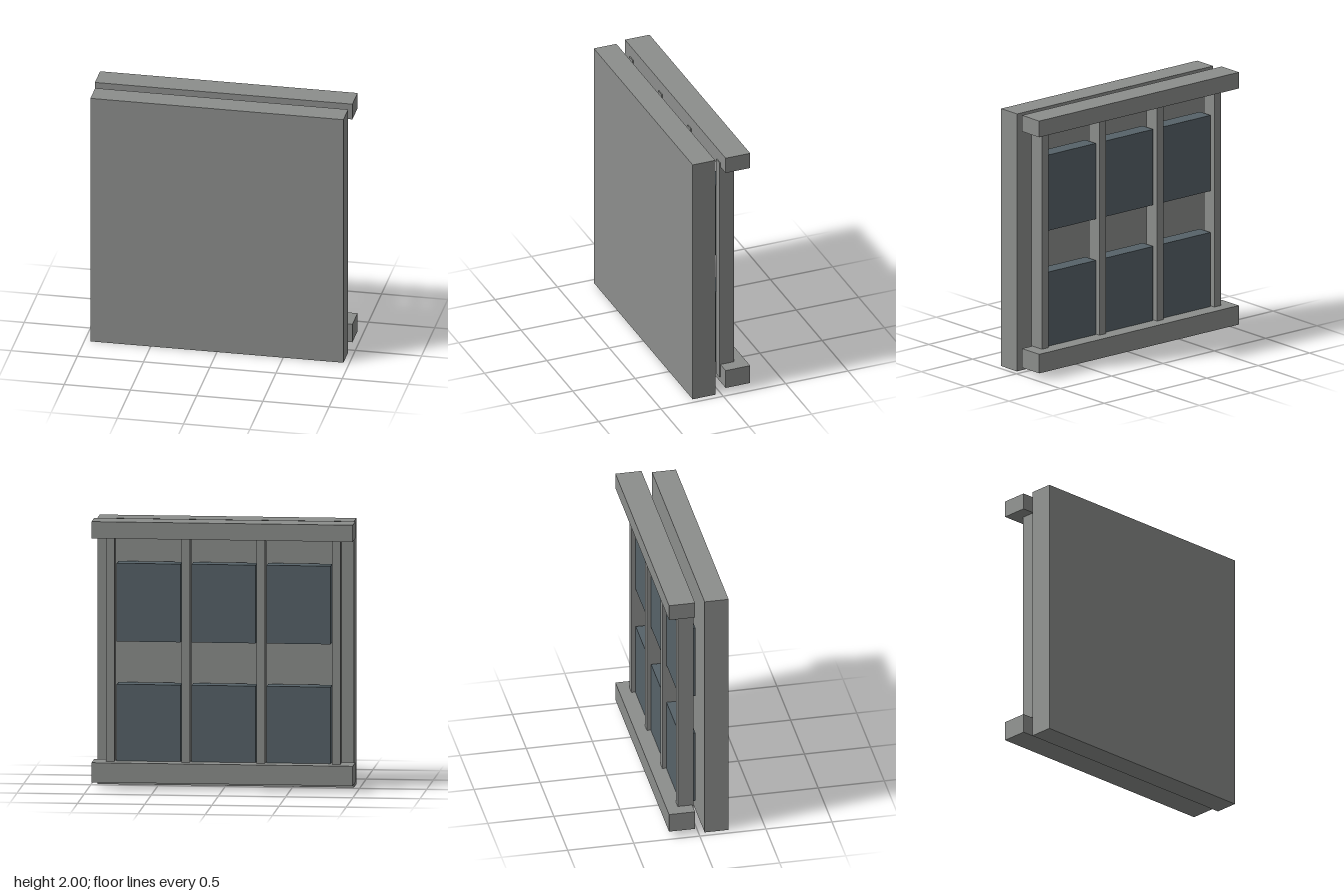
import * as THREE from 'three';

export function createModel() {
  const model = new THREE.Group();

  const grey = new THREE.MeshStandardMaterial({ color: 0x8c8e8c });
  grey.name = 'warm grey';
  const slate = new THREE.MeshStandardMaterial({ color: 0x566268 });
  slate.name = 'slate blue';

  // Box from its minimum and maximum on each axis
  function addBox(name, material, [x0, x1], [y0, y1], [z0, z1]) {
    const mesh = new THREE.Mesh(new THREE.BoxGeometry(x1 - x0, y1 - y0, z1 - z0), material);
    mesh.position.set((x0 + x1) / 2, (y0 + y1) / 2, (z0 + z1) / 2);
    mesh.name = name;
    model.add(mesh);
  }

  // Front slab
  addBox('frontPanel', grey, [-0.955, 0.955], [0, 1.99], [0.046, 0.227]);

  // Horizontal beams at the back
  addBox('topBeam', grey, [-0.972, 0.972], [1.875, 2], [-0.227, -0.03]);
  addBox('bottomBeam', grey, [-0.972, 0.972], [0.05, 0.197], [-0.227, -0.03]);

  // Upright posts joining the beams
  for (let i = 0; i < 4; i++) {
    const x = -0.84 + i * 0.56;
    addBox('post' + (i + 1), grey, [x - 0.031, x + 0.031], [0.09, 1.91], [-0.14, -0.022]);
  }

  // Two rows of three blocks between the posts
  [['lower', 0.185, 0.77], ['upper', 1.09, 1.675]].forEach(([row, y0, y1]) => {
    for (let i = 0; i < 3; i++) {
      const x = (i - 1) * 0.558;
      addBox(row + 'Block' + (i + 1), slate, [x - 0.238, x + 0.238], [y0, y1], [-0.11, 0.01]);
    }
  });

  return model;
}
